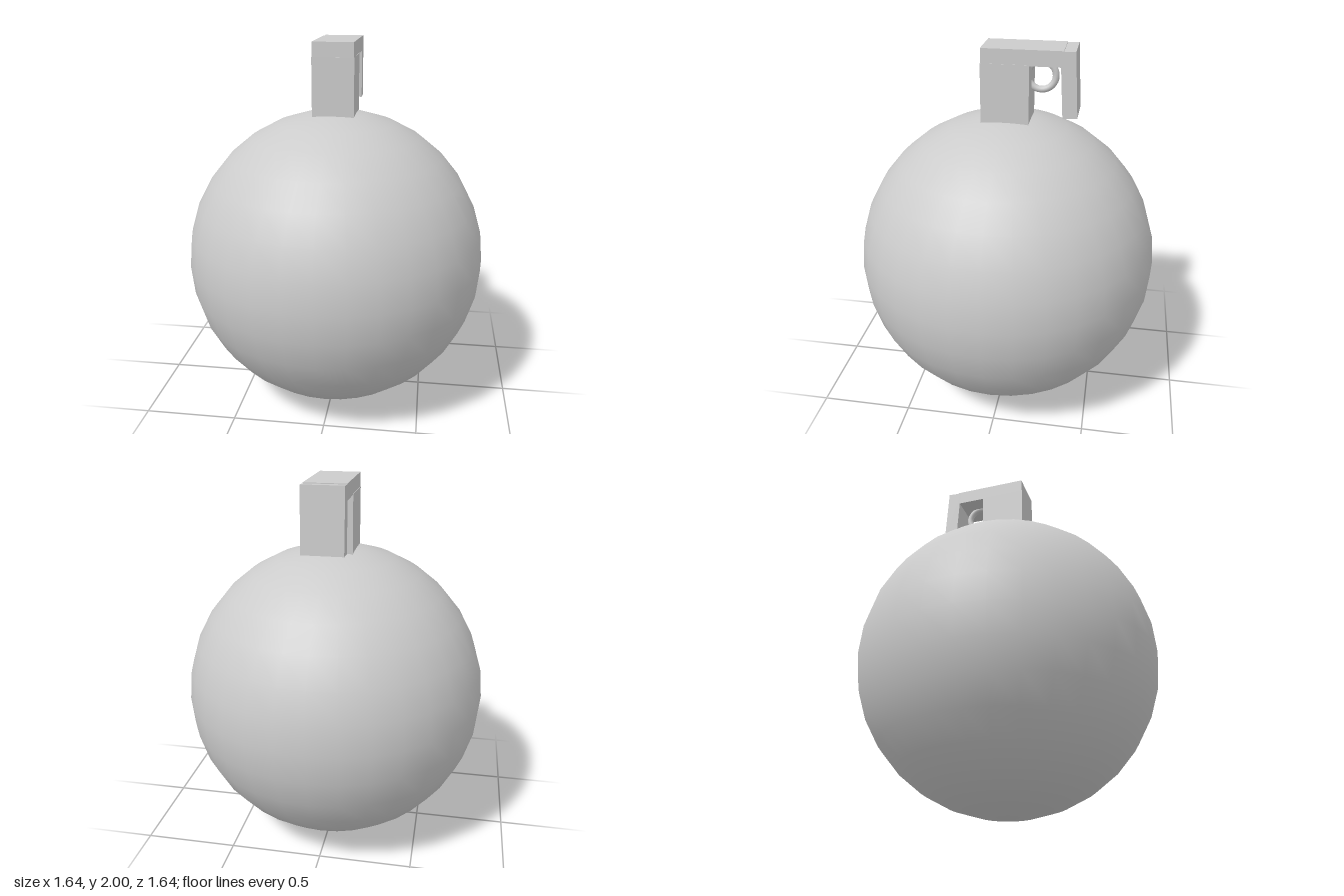
import * as THREE from 'three';

export function createModel() {
  const model = new THREE.Group();
  const material = new THREE.MeshStandardMaterial({ color: 0xcccccc });

  function add(name, geometry, x, y, z) {
    const mesh = new THREE.Mesh(geometry, material);
    mesh.name = name;
    mesh.position.set(x, y, z);
    model.add(mesh);
    return mesh;
  }

  // Round body
  const radius = 0.818;
  add('body', new THREE.SphereGeometry(radius, 32, 16), 0, radius, 0);

  // Square neck, sunk slightly into the body
  const neckBottom = 1.56, neckTop = 1.925;
  add('neck', new THREE.BoxGeometry(0.22, neckTop - neckBottom, 0.247),
    0, (neckBottom + neckTop) / 2, 0);

  // Flat arm on top of the neck, reaching backwards
  const armFront = 0.121, armBack = -0.29;
  add('arm', new THREE.BoxGeometry(0.216, 0.08, armFront - armBack),
    0, 1.96, (armFront + armBack) / 2);

  // Lever hanging from the back of the arm, tilted slightly outwards
  const lever = add('lever', new THREE.BoxGeometry(0.216, 0.333, 0.075), 0, 1.831, -0.322);
  lever.rotation.x = 0.06;

  // Pull ring under the arm, partly set into the neck
  const ring = add('pullRing', new THREE.TorusGeometry(0.0725, 0.0175, 12, 32), 0, 1.85, -0.174);
  ring.rotation.y = Math.PI / 2;

  return model;
}
